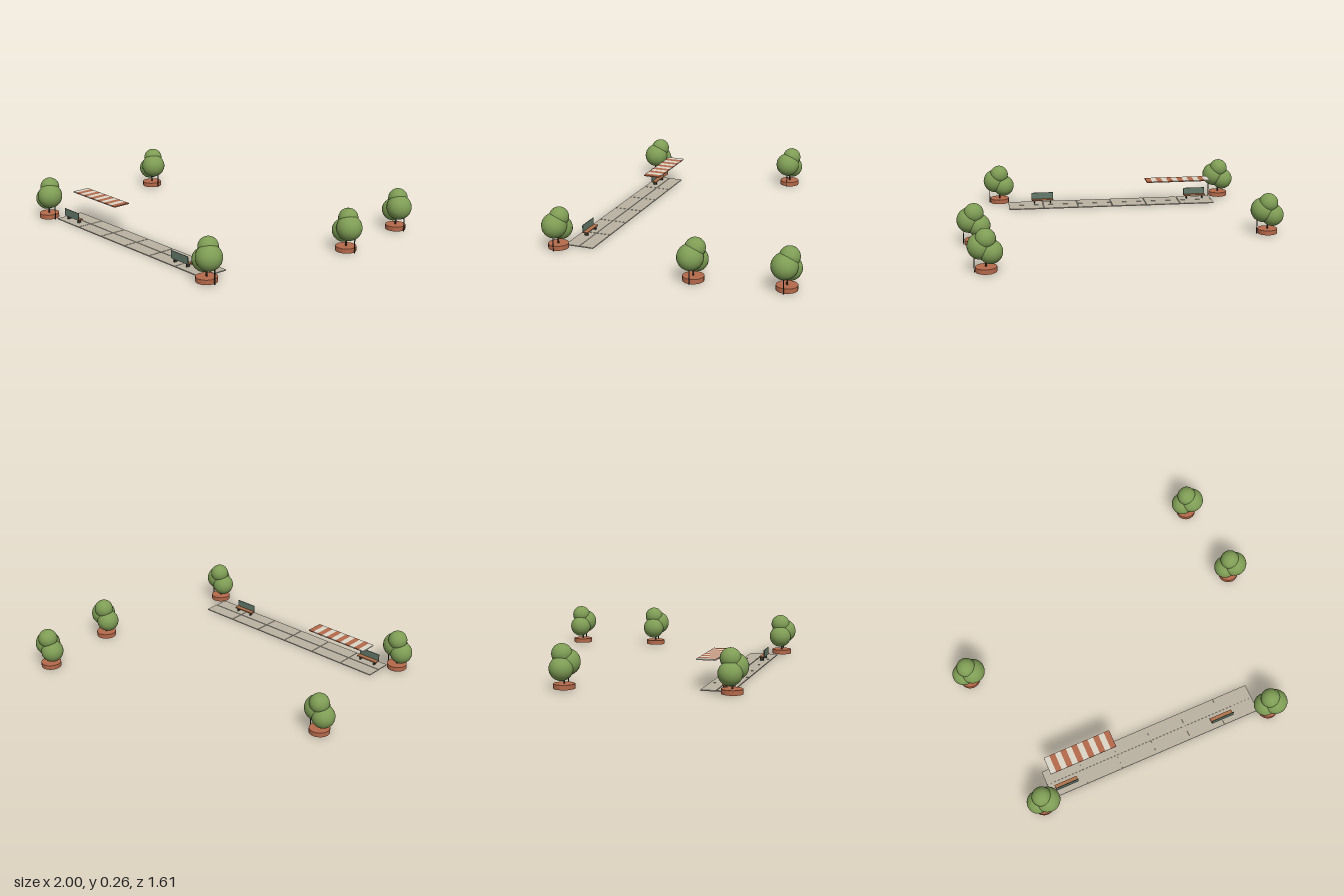
import * as THREE from 'three';

const mat = (color) => new THREE.MeshStandardMaterial({ color });
const stone = mat(0xbab2a2);
const brick = mat(0xb5694a);
const leaf = mat(0x7f9d55);
const dark = mat(0x35352f);
const bark = mat(0x4a3a2c);
const wood = mat(0xb0714a);
const green = mat(0x64796a);
const cream = mat(0xdcd6c8);
const brickFlat = brick.clone();
brickFlat.flatShading = true;

function add(parent, name, geometry, material, x, y, z) {
  const mesh = new THREE.Mesh(geometry, material);
  mesh.name = name;
  mesh.position.set(x, y, z);
  parent.add(mesh);
  return mesh;
}

// Box given by its lower and upper corners
function addBox(parent, name, material, [x0, y0, z0], [x1, y1, z1]) {
  const geometry = new THREE.BoxGeometry(x1 - x0, y1 - y0, z1 - z0);
  return add(parent, name, geometry, material, (x0 + x1) / 2, (y0 + y1) / 2, (z0 + z1) / 2);
}

// Round brick planter, trunk, support stake and three balls of foliage
function makeTree(x, z) {
  const tree = new THREE.Group();
  tree.name = 'plantedTree';
  add(tree, 'planter', new THREE.CylinderGeometry(0.062, 0.062, 0.028, 16), brickFlat, 0, 0.02, 0);
  add(tree, 'trunk', new THREE.CylinderGeometry(0.004, 0.005, 0.12, 8), bark, 0, 0.09, 0);
  add(tree, 'stake', new THREE.CylinderGeometry(0.003, 0.003, 0.11, 6), dark, 0.066, 0.058, 0);
  const balls = [
    [-0.028, 0.122, -0.007, 0.069],
    [0.028, 0.152, 0.008, 0.076],
    [0, 0.201, -0.012, 0.059],
  ];
  for (const [bx, by, bz, r] of balls) {
    add(tree, 'foliage', new THREE.SphereGeometry(r, 28, 18), leaf, bx, by, bz);
  }
  tree.position.set(x, 0, z);
  return tree;
}

// Bench with its backrest on the outer (+z) side
function makeBench(x, z) {
  const bench = new THREE.Group();
  bench.name = 'bench';
  addBox(bench, 'seat', wood, [-0.073, 0.026, -0.016], [0.073, 0.032, 0.016]);
  addBox(bench, 'backrest', green, [-0.073, 0.028, 0.014], [0.073, 0.075, 0.018]);
  for (const side of [-1, 1]) {
    addBox(bench, 'leg', dark, [side * 0.054 - 0.003, 0.004, -0.012], [side * 0.054 + 0.003, 0.027, 0.012]);
  }
  bench.position.set(x, 0, z);
  return bench;
}

// Two rows of six paving slabs with narrow joints
function makeWalkway() {
  const walkway = new THREE.Group();
  walkway.name = 'walkway';
  const x0 = -0.722, x1 = 0.662, z0 = 0.521, z1 = 0.7;
  const cols = 6, rows = 2, gap = 0.002;
  addBox(walkway, 'pavingBase', stone, [x0, 0, z0], [x1, 0.003, z1]);
  const w = (x1 - x0) / cols, d = (z1 - z0) / rows;
  for (let i = 0; i < cols; i++) {
    for (let j = 0; j < rows; j++) {
      const left = x0 + i * w, back = z0 + j * d;
      addBox(walkway, 'pavingSlab', stone,
        [left + (i ? gap : 0), 0.003, back + (j ? gap : 0)],
        [left + w - (i < cols - 1 ? gap : 0), 0.006, back + d - (j < rows - 1 ? gap : 0)]);
    }
  }
  return walkway;
}

// Flat striped canopy
function makeAwning() {
  const awning = new THREE.Group();
  awning.name = 'awning';
  const stripes = 12, x0 = -0.684, w = 0.427 / stripes;
  for (let i = 0; i < stripes; i++) {
    addBox(awning, 'awningStripe', i % 2 ? brick : cream,
      [x0 + i * w, 0.165, 0.487], [x0 + (i + 1) * w, 0.172, 0.597]);
  }
  return awning;
}

export function createModel() {
  const model = new THREE.Group();
  model.name = 'plaza';
  model.add(makeWalkway(), makeAwning());
  for (const x of [-0.611, 0.433]) model.add(makeBench(x, 0.65));
  const spots = [[-0.787, 0.717], [0.72, 0.717], [-0.903, -0.213], [0.895, -0.213], [0.835, -0.735]];
  for (const [x, z] of spots) model.add(makeTree(x, z));
  return model;
}
